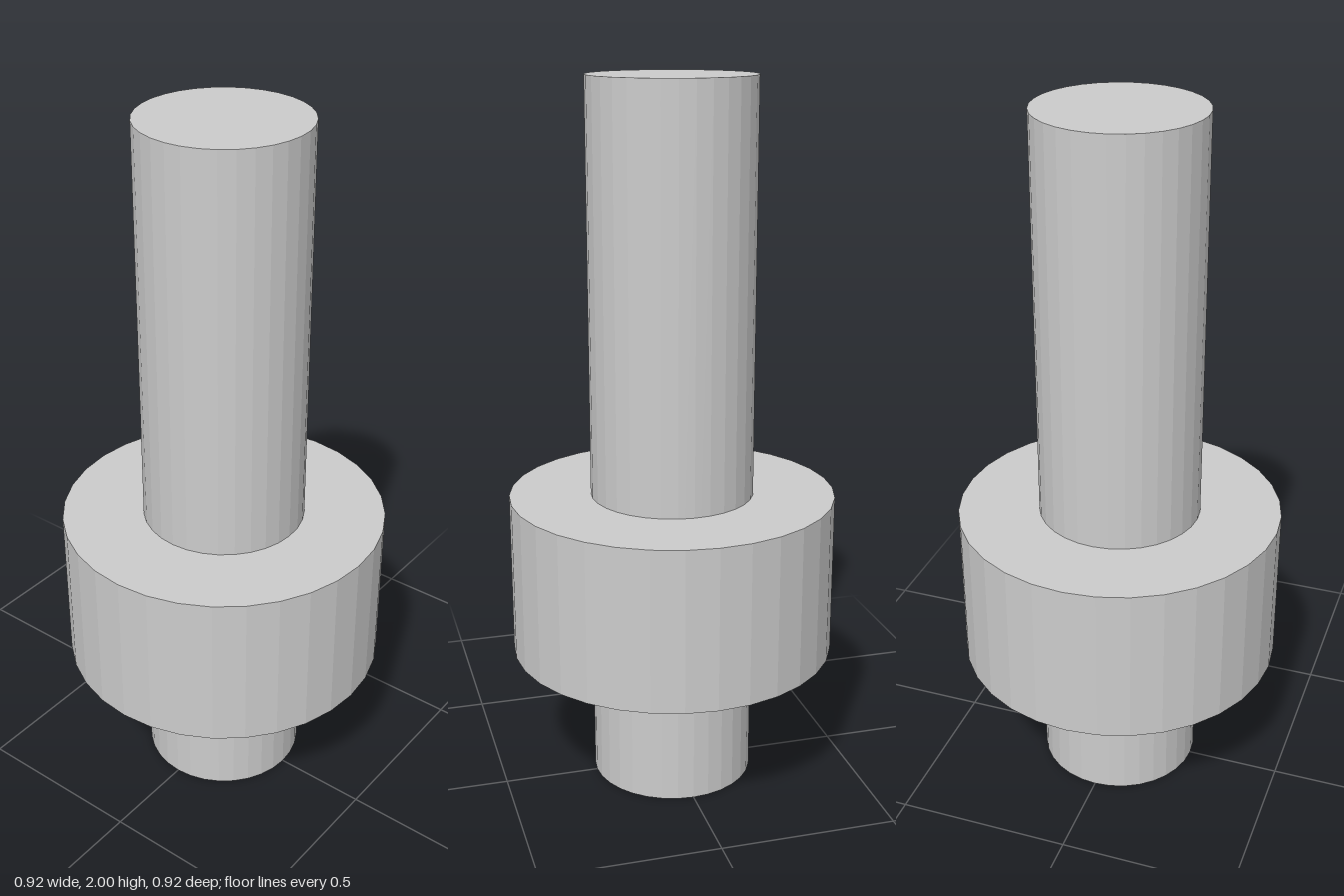
import * as THREE from 'three';

const SIDES = 32;

export function createModel() {
  const group = new THREE.Group();
  const material = new THREE.MeshStandardMaterial({ color: 0xcccccc, flatShading: true });

  // Upright faceted cylinder spanning two heights
  const addCylinder = (name, radius, bottom, top) => {
    const height = top - bottom;
    const mesh = new THREE.Mesh(new THREE.CylinderGeometry(radius, radius, height, SIDES), material);
    mesh.name = name;
    mesh.position.y = bottom + height / 2;
    group.add(mesh);
  };

  // Shaft running the full height
  addCylinder('shaft', 0.23, 0, 2);
  // Wide collar around the lower part of the shaft
  addCylinder('collar', 0.46, 0.39, 0.85);

  return group;
}
